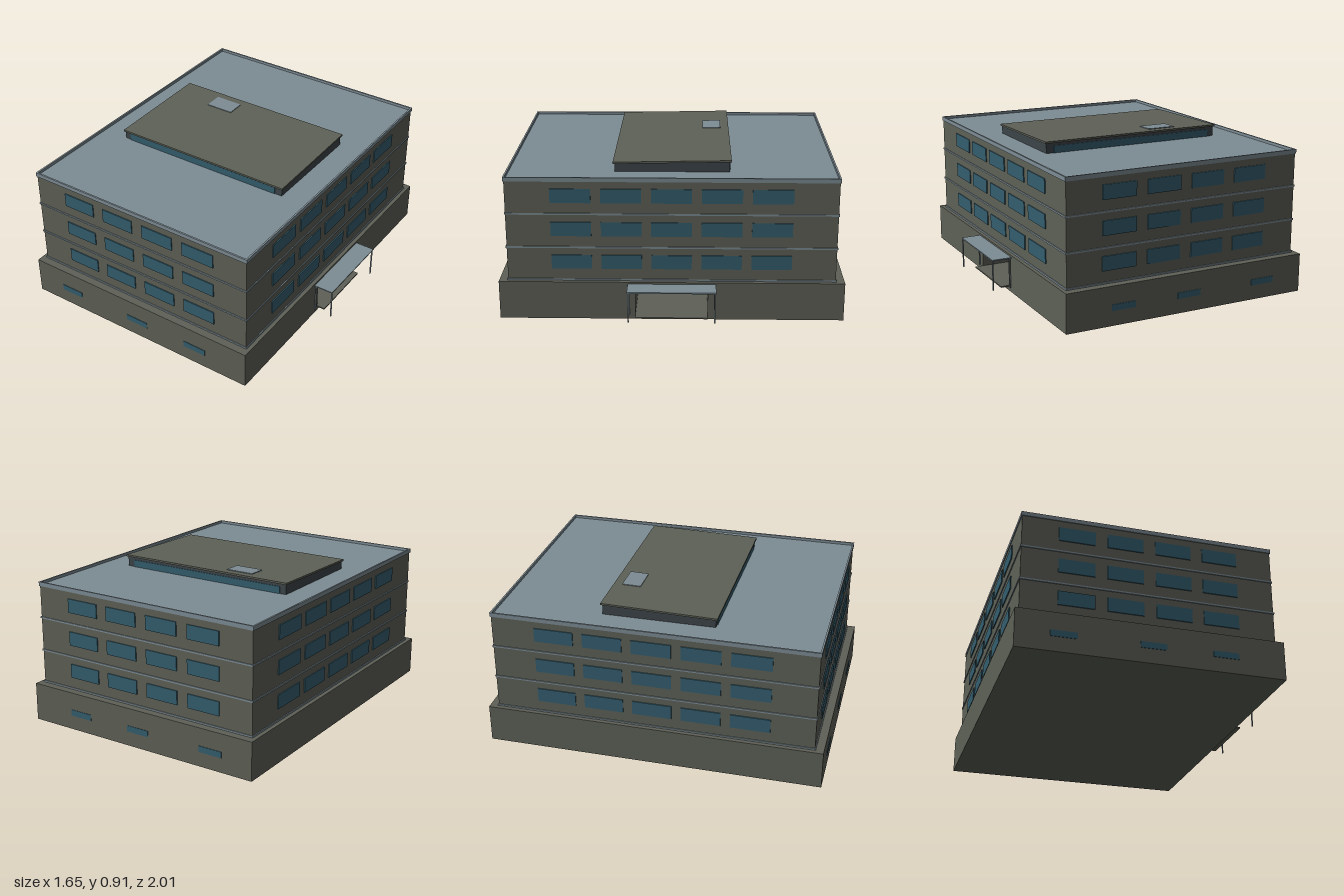
import * as THREE from 'three';

const mat = (name, color) => {
  const m = new THREE.MeshStandardMaterial({ color });
  m.name = name;
  return m;
};

export function createModel() {
  const wall = mat('wall grey green', 0x5e6157);
  const trim = mat('roof blue grey', 0x7d8c94);
  const glass = mat('window glass', 0x345e6f);
  const dark = mat('dark frame', 0x3d4549);
  const teal = mat('canopy glass', 0x2a7a80);

  const model = new THREE.Group();
  model.name = 'officeBuilding';

  const add = (name, geometry, material, parent = model) => {
    const mesh = new THREE.Mesh(geometry, material);
    mesh.name = name;
    parent.add(mesh);
    return mesh;
  };
  // Box given by its limits on each axis
  const box = (name, material, [x0, x1], [y0, y1], [z0, z1], parent) => {
    const g = new THREE.BoxGeometry(x1 - x0, y1 - y0, z1 - z0);
    g.translate((x0 + x1) / 2, (y0 + y1) / 2, (z0 + z1) / 2);
    return add(name, g, material, parent);
  };
  const group = (name) => {
    const g = new THREE.Group();
    g.name = name;
    model.add(g);
    return g;
  };
  const shapeOf = (points) => new THREE.Shape(points.map(([x, y]) => new THREE.Vector2(x, y)));

  // Ground floor with a recessed entrance in the +x side
  const base = group('groundFloor');
  const bx = [-0.825, 0.705], bz = [-1, 1];
  box('plinth', wall, bx, [0, 0.03], bz, base);
  const plan = shapeOf([
    [-0.825, -1], [0.705, -1], [0.705, -0.21], [0.405, -0.21],
    [0.405, 0.21], [0.705, 0.21], [0.705, 1], [-0.825, 1],
  ]);
  const ring = new THREE.ExtrudeGeometry(plan, { depth: 0.18, bevelEnabled: false });
  ring.rotateX(-Math.PI / 2).translate(0, 0.03, 0);
  add('groundFloorWalls', ring, wall, base);
  box('lintelSlab', wall, bx, [0.21, 0.23], bz, base);

  // Upper storeys
  const ux = [-0.795, 0.677], uz = [-0.948, 0.948];
  box('upperWalls', wall, ux, [0.23, 0.832], uz);
  const bands = group('floorBands');
  for (const y of [0.23, 0.43, 0.632]) {
    box('floorBand', trim, [-0.8, 0.682], [y, y + 0.01], [-0.953, 0.953], bands);
  }

  // Flat roof inside a thin raised rim
  const roof = group('roof');
  const rx = [-0.8, 0.682], rz = [-0.953, 0.953], rimY = [0.83, 0.855], t = 0.01;
  box('roofDeck', trim, rx, [0.83, 0.838], rz, roof);
  box('rimLeft', trim, [rx[1] - t, rx[1]], rimY, rz, roof);
  box('rimRight', trim, [rx[0], rx[0] + t], rimY, rz, roof);
  box('rimFront', trim, rx, rimY, [rz[1] - t, rz[1]], roof);
  box('rimBack', trim, rx, rimY, [rz[0], rz[0] + t], roof);

  // Windows, three storeys on all four sides
  const windows = group('windows');
  const p = 0.006;
  for (const y of [0.304, 0.504, 0.704]) {
    const wy = [y, y + 0.084];
    for (const x of [-0.585, -0.305, -0.025, 0.253]) {
      box('frontWindow', glass, [x, x + 0.209], wy, [uz[1], uz[1] + p], windows);
      box('backWindow', glass, [x, x + 0.209], wy, [uz[0] - p, uz[0]], windows);
    }
    for (let i = -2; i <= 2; i++) {
      const z = [i * 0.2875 - 0.116, i * 0.2875 + 0.116];
      box('leftWindow', glass, [ux[1], ux[1] + p], wy, z, windows);
      box('rightWindow', glass, [ux[0] - p, ux[0]], wy, z, windows);
    }
  }
  // Small ground floor windows, front and back
  for (const x of [-0.632, -0.135, 0.281]) {
    box('frontLowWindow', glass, [x, x + 0.149], [0.087, 0.124], [1, 1.003], windows);
    box('backLowWindow', glass, [x, x + 0.149], [0.087, 0.124], [-1.003, -1], windows);
  }

  // Rooftop pavilion: profiles in the z-y plane, swept along x
  const pavilion = group('pavilion');
  const sweep = (name, points, x0, x1, material) => {
    const shape = shapeOf(points.map(([z, y]) => [-z, y]));
    const g = new THREE.ExtrudeGeometry(shape, { depth: x1 - x0, bevelEnabled: false });
    g.rotateY(Math.PI / 2).translate(x0, 0, 0);
    return add(name, g, material, pavilion);
  };
  sweep('pavilionWalls', [[0.332, 0.835], [-0.332, 0.835], [-0.332, 0.9], [0.332, 0.886]],
    -0.625, 0.506, dark);
  sweep('pavilionRoof', [[0.342, 0.885], [-0.342, 0.898], [-0.342, 0.909], [0.342, 0.896]],
    -0.632, 0.514, wall);
  for (const z of [[0.332, 0.336], [-0.336, -0.332]]) {
    box('pavilionGlazing', glass, [-0.585, 0.46], [0.838, 0.88], z, pavilion);
  }
  const hatch = box('roofHatch', trim, [-0.0875, 0.0875], [-0.003, 0.003], [-0.056, 0.056], pavilion);
  hatch.position.set(-0.283, 0.9085, -0.235);
  hatch.rotation.x = Math.atan2(0.013, 0.684);

  // Entrance canopy on slim posts, with a thin doorstep
  const porch = group('entrance');
  box('canopyRoof', trim, [0.705, 0.825], [0.212, 0.219], [-0.257, 0.253], porch);
  box('canopyUnderside', teal, [0.708, 0.82], [0.209, 0.212], [-0.25, 0.246], porch);
  for (const x of [0.71, 0.817]) {
    for (const z of [-0.253, 0.243]) {
      box('canopyPost', trim, [x, x + 0.007], [0.03, 0.212], [z, z + 0.007], porch);
    }
  }
  box('doorstep', wall, [0.705, 0.755], [0.023, 0.031], [-0.208, 0.21], porch);

  return model;
}
